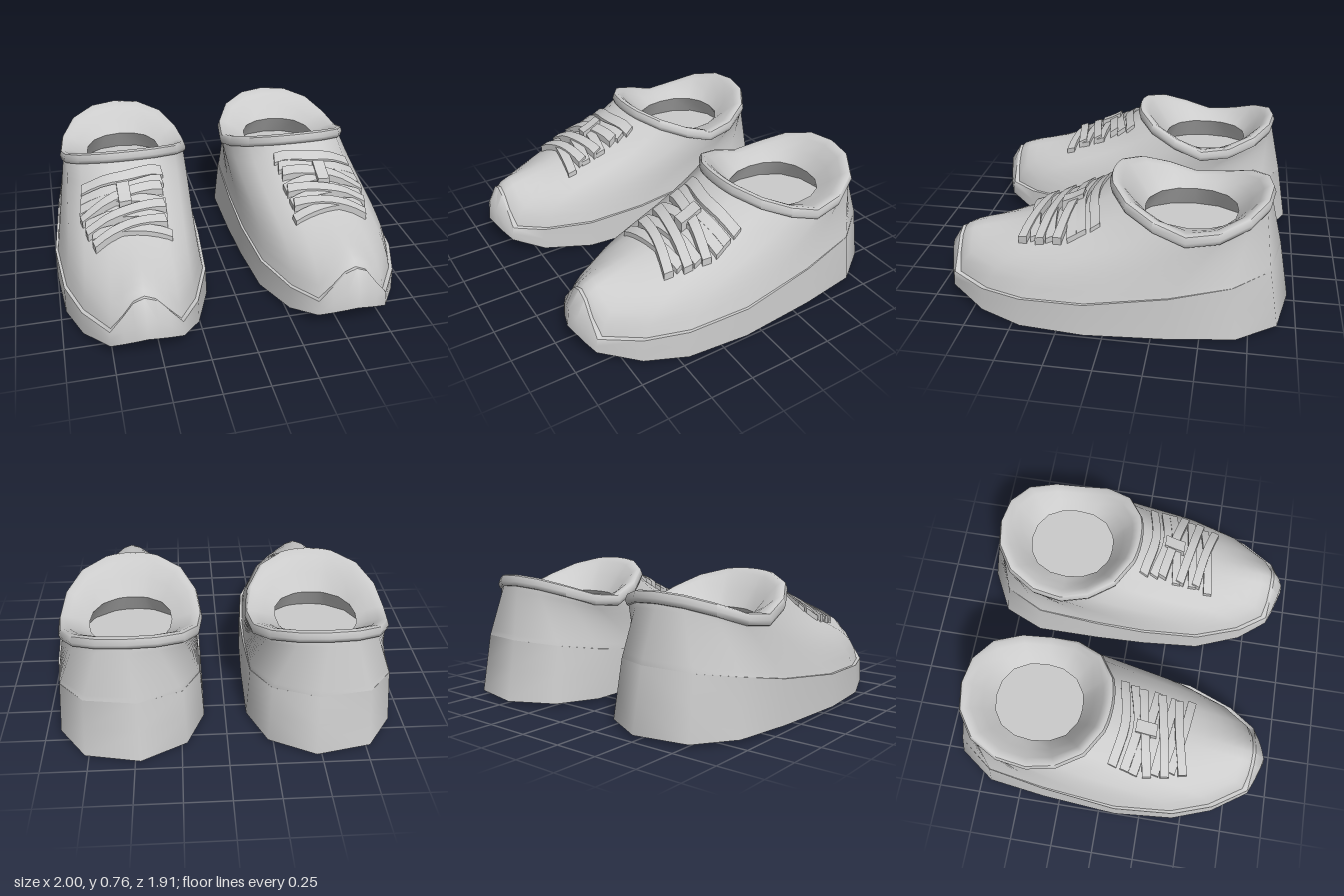
import * as THREE from 'three';
import { toCreasedNormals } from 'three/addons/utils/BufferGeometryUtils.js';

const { lerp, smoothstep } = THREE.MathUtils;
const material = new THREE.MeshStandardMaterial({ color: 0xcccccc, side: THREE.DoubleSide });

// Outline of the sole from the toe round the outer side: step, x, z, bottom y, top y
const OUTLINE = [
  [0, 0.57, 0.95, 0.16, 0.365], [0.4, 0.63, 0.93, 0.138, 0.34], [0.7, 0.69, 0.91, 0.117, 0.26],
  [1, 0.76, 0.88, 0.09, 0.175],
  [2, 0.89, 0.68, 0.035, 0.17], [3, 0.97, 0.45, 0.015, 0.18], [4, 1.0, 0.1, 0.015, 0.2],
  [5, 0.965, -0.35, 0.015, 0.255], [6, 0.92, -0.69, 0.02, 0.32], [7, 0.77, -0.9, 0.02, 0.35],
  [8, 0.47, -0.96, 0.02, 0.36], [9, 0.22, -0.83, 0.02, 0.34], [10, 0.12, -0.59, 0.015, 0.3],
  [11, 0.12, -0.2, 0.015, 0.24], [12, 0.13, 0.1, 0.015, 0.2], [13, 0.16, 0.45, 0.015, 0.18],
  [14, 0.26, 0.72, 0.035, 0.17],
  [15, 0.37, 0.88, 0.09, 0.175], [15.3, 0.44, 0.91, 0.117, 0.26], [15.6, 0.51, 0.93, 0.138, 0.34],
];

// Skin closed rings of points into a surface
function loft(name, rings, crease) {
  const n = rings[0].length, index = [];
  for (let r = 0; r < rings.length - 1; r++) {
    for (let i = 0; i < n; i++) {
      const a = r * n + i, b = r * n + (i + 1) % n;
      index.push(a, b, b + n, a, b + n, a + n);
    }
  }
  const geometry = new THREE.BufferGeometry().setFromPoints(rings.flat());
  geometry.setIndex(index);
  const mesh = new THREE.Mesh(toCreasedNormals(geometry, crease), material);
  mesh.name = name;
  return mesh;
}

const ring = (fn) => OUTLINE.map((p) => fn(...p));
const V = (x, y, z) => new THREE.Vector3(x, y, z);

// Height of the collar's top line along the shoe
function collarHeight(z) {
  return z > -0.45
    ? lerp(0.585, 0.76, Math.pow((z + 0.45) / 0.47, 1.15))
    : lerp(0.585, 0.72, Math.pow(Math.min(1, (-0.45 - z) / 0.39), 1.3));
}

// Ring of the ankle opening, full at its corners; sink blends its height to a level
function collarRing(scale, drop, sink = 0, level = 0) {
  return ring((step) => {
    const a = step / 16 * Math.PI * 2;
    const full = 1 + 0.045 * Math.sin(2 * a) ** 2;
    const sx = 0.39 * full * Math.sin(a), sz = 0.43 * full * Math.cos(a);
    return V(0.513 + sx * scale, lerp(collarHeight(sz - 0.41) - drop, level, sink), -0.41 + sz * scale);
  });
}

// Upper edge of the sole, drawn in at the heel
function soleTop(inset) {
  return ring((s, x, z, yb, yt) => {
    const k = 0.012 + 0.055 * Math.max(0, -z) + inset * smoothstep(z, -0.9, 0.3);
    return V(lerp(x, 0.55, k), yt, Math.min(lerp(z, 0, k), 0.87 - inset / 2));
  });
}

function buildSole() {
  const under = (k) => ring((s, x, z) => V(lerp(0.55, x, k), 0.003, z * k));
  const bottom = ring((s, x, z, yb) => V(x, yb, z));
  const top = soleTop(0);
  const middle = bottom.map((p, i) => p.clone().lerp(top[i], 0.5)
    .add(V(0, 0, 0.025 * smoothstep(p.z, 0.86, 0.95))));
  return loft('sole', [under(0.001), under(0.6), bottom, middle, top, soleTop(0.045)], 1);
}

// Upper swept along curves from the sole to the collar, full over the toes
function buildUpper() {
  const base = soleTop(0.035), end = collarRing(0.97, 0.06), count = 10;
  const curves = base.map((b, i) => {
    const e = end[i], w = smoothstep(b.z, -0.1, 0.6), side = Math.abs(b.x - 0.57);
    const c1 = b.clone().lerp(e, 1 / 3)
      .lerp(V(lerp(b.x, 0.56, 0.12), 0.445 - 0.12 * side, b.z * 0.97), w);
    const c2 = b.clone().lerp(e, 2 / 3)
      .lerp(V(lerp(b.x, e.x, 0.6), 0.405, lerp(b.z, e.z, 0.58)), w);
    return new THREE.CubicBezierCurve3(b, c1, c2, e);
  });
  const rings = [];
  for (let r = 0; r <= count; r++) rings.push(curves.map((c) => c.getPoint(r / count)));
  return loft('upper', rings, 1.2);
}

// Padded collar rolling over to a level foot hole, with a wider insole below
function buildCollar() {
  return loft('collar', [
    collarRing(0.95, 0.068), collarRing(0.995, 0.06), collarRing(1.012, 0.035),
    collarRing(0.985, 0.004), collarRing(0.94, 0), collarRing(0.86, 0, 0.15, 0.555),
    collarRing(0.73, 0, 0.55, 0.555), collarRing(0.58, 0, 1, 0.555),
    collarRing(0.78, 0, 1, 0.42), collarRing(0.001, 0, 1, 0.42),
  ], 0.95);
}

// Flat strap laid over the upper through points given as [x, z]
function strap(name, upper, points, width, thickness) {
  const ray = new THREE.Raycaster();
  const drop = (x, z, lift) => {
    ray.set(V(x, 2, z), V(0, -1, 0));
    const hit = ray.intersectObject(upper)[0];
    return V(x, (hit ? hit.point.y : 0.45) + lift, z);
  };
  const path = new THREE.CatmullRomCurve3(points.map(([x, z]) => V(x, 0, z)));
  const rings = [], steps = 8;
  for (let i = 0; i <= steps; i++) {
    const p = path.getPoint(i / steps), t = path.getTangent(i / steps);
    const dx = -t.z * width / 2, dz = t.x * width / 2;
    rings.push([
      drop(p.x + dx, p.z + dz, -0.01), drop(p.x - dx, p.z - dz, -0.01),
      drop(p.x - dx, p.z - dz, thickness), drop(p.x + dx, p.z + dz, thickness),
    ]);
  }
  // Close both ends
  const tip = (r) => r.map(() => r[0].clone().lerp(r[2], 0.5));
  return loft(name, [tip(rings[0]), ...rings, tip(rings[steps])], 0.6);
}

function buildLaces(upper) {
  const laces = new THREE.Group();
  laces.name = 'laces';
  const paths = [
    [[0.35, 0.12], [0.58, 0.17], [0.82, 0.13]],
    [[0.36, 0.17], [0.58, 0.21], [0.83, 0.26]],
    [[0.35, 0.26], [0.58, 0.23], [0.83, 0.18]],
    [[0.36, 0.28], [0.58, 0.32], [0.81, 0.36]],
    [[0.36, 0.36], [0.58, 0.33], [0.81, 0.3]],
    [[0.37, 0.38], [0.57, 0.41], [0.78, 0.46]],
    [[0.35, 0.46], [0.57, 0.43], [0.78, 0.39]],
  ];
  paths.forEach((p, i) => laces.add(strap('lace', upper, p, 0.05, i % 2 ? 0.042 : 0.03)));
  laces.add(strap('laceKnot', upper, [[0.58, 0.16], [0.58, 0.28]], 0.07, 0.055));
  return laces;
}

function buildShoe(name) {
  const shoe = new THREE.Group();
  shoe.name = name;
  const upper = buildUpper();
  shoe.add(buildSole(), upper, buildCollar(), buildLaces(upper));
  shoe.add(strap('tongueEdge', upper, [[0.34, 0.06], [0.58, 0.1], [0.81, 0.06]], 0.05, 0.022));
  return shoe;
}

export function createModel() {
  const model = new THREE.Group();
  model.name = 'pairOfShoes';
  const right = buildShoe('rightShoe');
  right.scale.x = -1;
  model.add(buildShoe('leftShoe'), right);
  return model;
}
